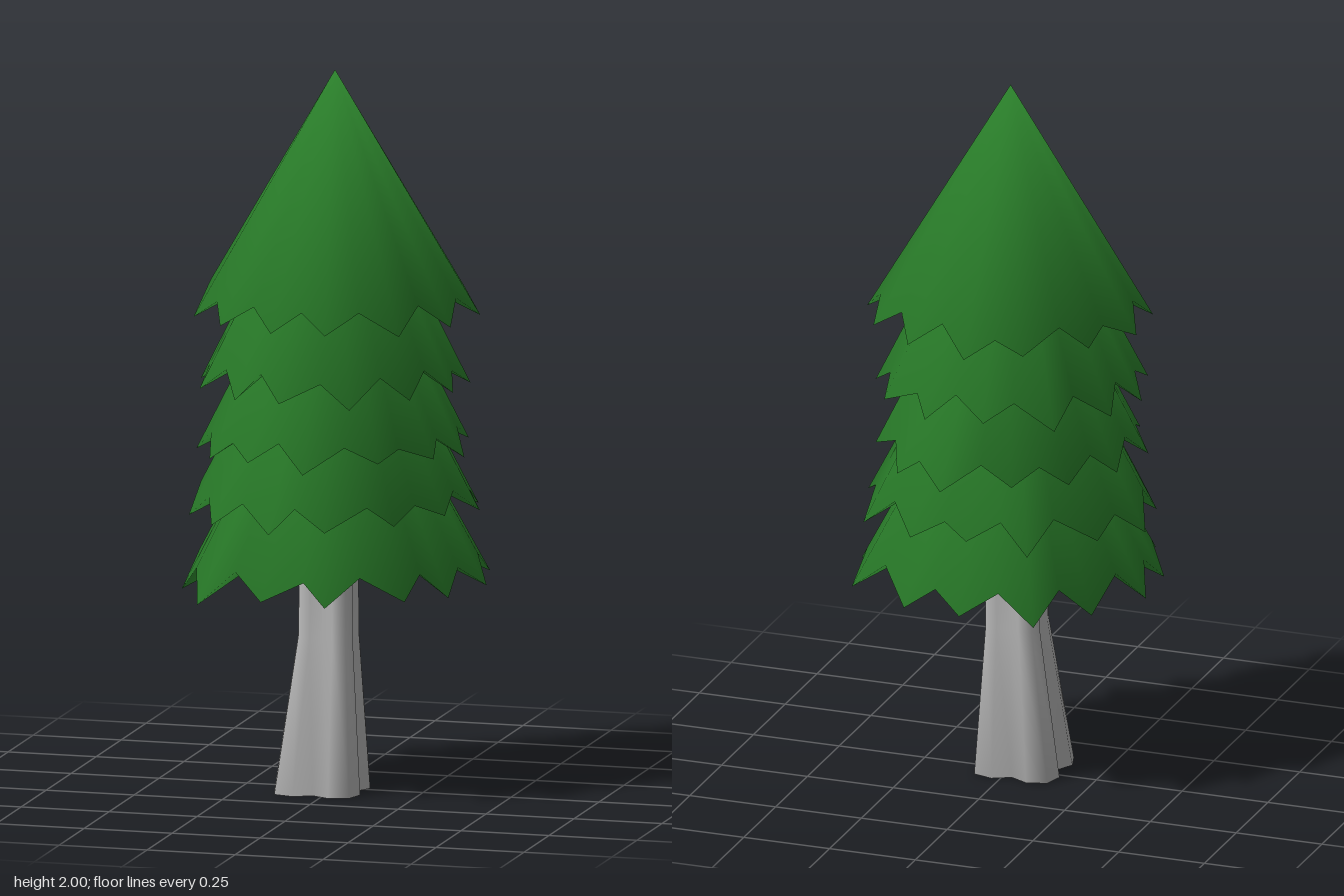
import * as THREE from 'three';

const LOBES = 13;

// each tier: tip height, apex height, turn in degrees, radius of each drooping tip (from the front towards +x)
const TIERS = [
  { y: 1.33, apex: 2.0, turn: 14, tips: [.37, .38, .39, .40, .39, .37, .37, .37, .37, .38, .39, .38, .36] },
  { y: 1.13, apex: 1.88, turn: -5, tips: [.39, .37, .37, .36, .37, .37, .36, .37, .38, .38, .38, .38, .38] },
  { y: 0.95, apex: 1.70, turn: 5, tips: [.39, .37, .37, .37, .37, .38, .42, .38, .37, .37, .38, .38, .38] },
  { y: 0.78, apex: 1.56, turn: 14, tips: [.40, .38, .37, .40, .42, .38, .36, .39, .40, .42, .40, .40, .39] },
  { y: 0.585, apex: 1.38, turn: 14, tips: [.40, .41, .39, .42, .45, .40, .39, .41, .40, .42, .42, .46, .40] },
];

function seeded(seed) {
  let s = seed;
  return () => (s = (s * 16807) % 2147483647) / 2147483647;
}

function makeGeometry(positions, index) {
  const g = new THREE.BufferGeometry();
  g.setAttribute('position', new THREE.Float32BufferAttribute(positions, 3));
  g.setIndex(index);
  g.computeVertexNormals();
  return g;
}

// pleated cone whose rim alternates between low tips and high notches, hollowed underneath;
// both sides share the rim, so the shading rolls over the edge
function tierGeometry({ y, apex, turn, tips }, seed) {
  const rand = seeded(seed);
  const n = LOBES * 2;
  const positions = [0, apex, 0, 0, y + 0.19, 0];
  const index = [];
  for (let i = 0; i < n; i++) {
    const k = i >> 1;
    const notch = i % 2;
    const r = notch ? (tips[k] + tips[(k + 1) % LOBES]) / 2 * 0.9 : tips[k];
    const a = THREE.MathUtils.degToRad(turn) + (i + (rand() - 0.5) * 0.35) / n * Math.PI * 2;
    const h = y + (notch ? 0.06 : (0.385 - r) * 0.3) + (rand() - 0.5) * 0.03;
    positions.push(Math.sin(a) * r, h, Math.cos(a) * r);
    const next = 2 + (i + 1) % n;
    index.push(0, 2 + i, next, 1, next, 2 + i);
  }
  return makeGeometry(positions, index);
}

// fluted four-cornered trunk that spreads into roots at the ground
function trunkGeometry() {
  const reach = [0.64, 0.88, 1.0, 0.88];
  const n = reach.length * 4;
  const sections = [
    { y: 0.95, r: 0.088, x: -0.014, z: 0.005 },
    { y: 0.43, r: 0.095, x: -0.016, z: 0.008 },
    { y: 0, r: 0.15, x: -0.027, z: 0.033 },
  ];
  const positions = [];
  const index = [];
  sections.forEach((s, row) => {
    for (let i = 0; i < n; i++) {
      const a = i / n * Math.PI * 2;
      const r = s.r * reach[i % reach.length];
      positions.push(s.x + Math.sin(a) * r, s.y, s.z + Math.cos(a) * r);
      if (row > 0) {
        const up = (row - 1) * n;
        const low = row * n;
        const j = (i + 1) % n;
        index.push(up + i, low + i, low + j, up + i, low + j, up + j);
      }
    }
  });
  // flat foot
  const base = (sections.length - 1) * n;
  const centre = positions.length / 3;
  positions.push(-0.027, 0, 0.033);
  for (let i = 0; i < n; i++) index.push(centre, base + (i + 1) % n, base + i);
  return makeGeometry(positions, index);
}

export function createModel() {
  const leafGreen = new THREE.MeshStandardMaterial({ color: 0x2c842c });
  leafGreen.name = 'leafGreen';
  const barkGrey = new THREE.MeshStandardMaterial({ color: 0xb8b8b8 });
  barkGrey.name = 'barkGrey';

  const tree = new THREE.Group();
  tree.name = 'tree';

  const trunk = new THREE.Mesh(trunkGeometry(), barkGrey);
  trunk.name = 'trunk';
  tree.add(trunk);

  const foliage = new THREE.Group();
  foliage.name = 'foliage';
  TIERS.forEach((tier, i) => {
    const mesh = new THREE.Mesh(tierGeometry(tier, 101 + i * 977), leafGreen);
    mesh.name = `branchTier${i + 1}`;
    foliage.add(mesh);
  });
  tree.add(foliage);
  return tree;
}
